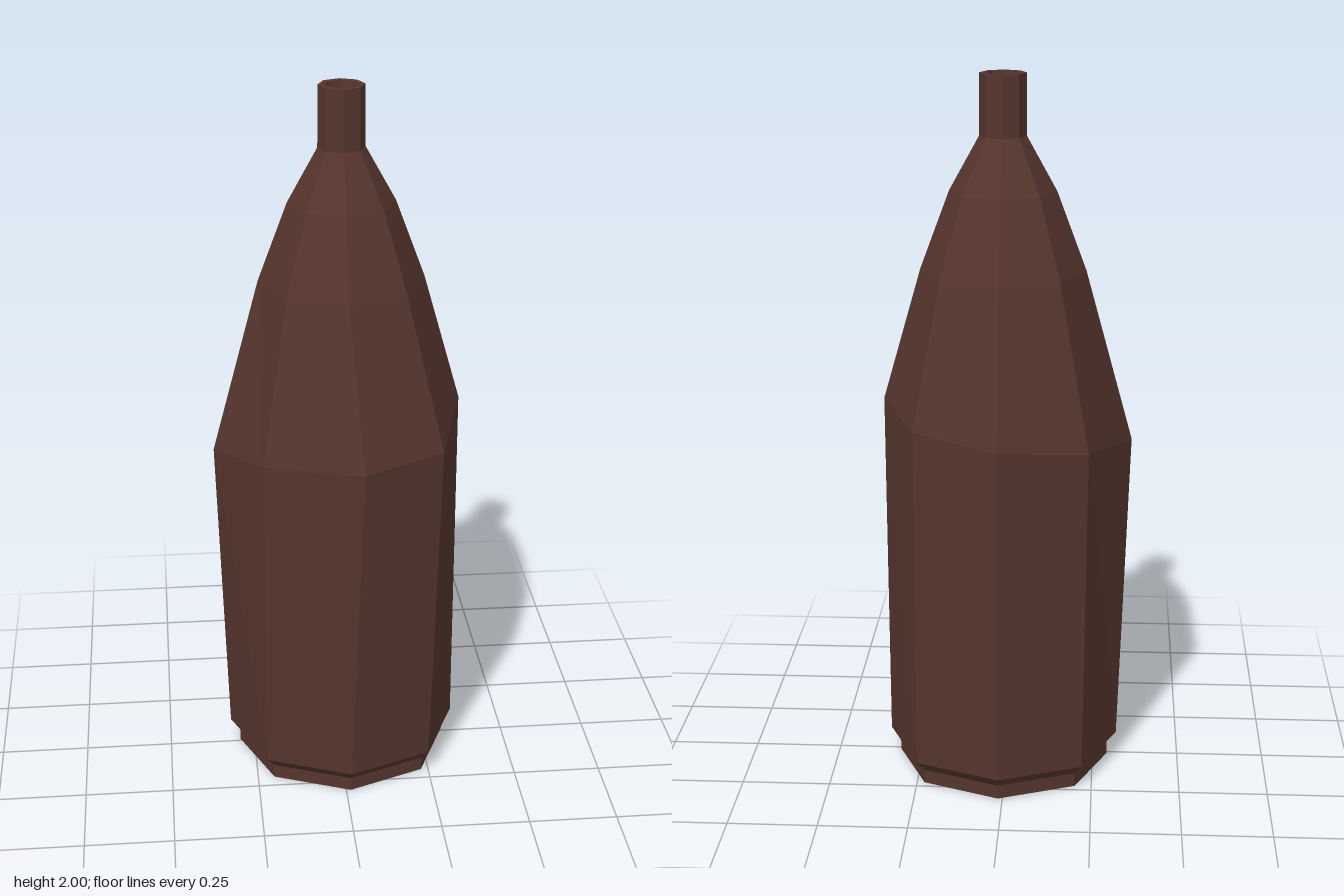
import * as THREE from 'three';

const SIDES = 8;

// Closed eight-sided lathe from [radius, height] pairs
function lathe(profile) {
  return new THREE.LatheGeometry(profile.map(([r, y]) => new THREE.Vector2(r, y)), SIDES);
}

export function createModel() {
  const model = new THREE.Group();
  const brown = new THREE.MeshStandardMaterial({ color: 0x55352d, flatShading: true });
  brown.name = 'dark brown glass';

  const bottle = new THREE.Group();
  bottle.name = 'bottle';
  bottle.position.set(0.013, 0, -0.01);
  model.add(bottle);

  const add = (name, geometry) => {
    const mesh = new THREE.Mesh(geometry, brown);
    mesh.name = name;
    bottle.add(mesh);
  };

  // Foot with a recessed underside
  add('foot', lathe([[0, 0.05], [0.255, 0.05], [0.26, 0], [0.305, 0], [0.305, 0.04], [0.332, 0.07]]));

  // Body and tapered shoulder
  const profile = [[0.332, 0.07], [0.345, 1.03], [0.23, 1.46], [0.148, 1.68], [0.065, 1.83]];
  const body = lathe(profile);

  // Uneven, hand-made shoulder ring, from the front round by the left side
  const shoulder = [
    [0.045, 1.02, 0.342], [0.273, 1.03, 0.228], [0.348, 1.09, -0.022], [0.247, 1.06, -0.253],
    [0.013, 1.03, -0.345], [-0.232, 1.0, -0.24], [-0.35, 0.97, 0.012], [-0.222, 1.01, 0.24],
  ];
  const position = body.attributes.position;
  for (let i = 0; i <= SIDES; i++) {
    const [x, y, z] = shoulder[i % SIDES];
    position.setXYZ(i * profile.length + 1, x - 0.013, y, z + 0.01);
  }
  body.computeVertexNormals();
  add('body', body);

  // Neck with a shallow mouth
  add('neck', lathe([[0.065, 1.83], [0.064, 2], [0.046, 2], [0.042, 1.97], [0, 1.97]]));

  return model;
}
